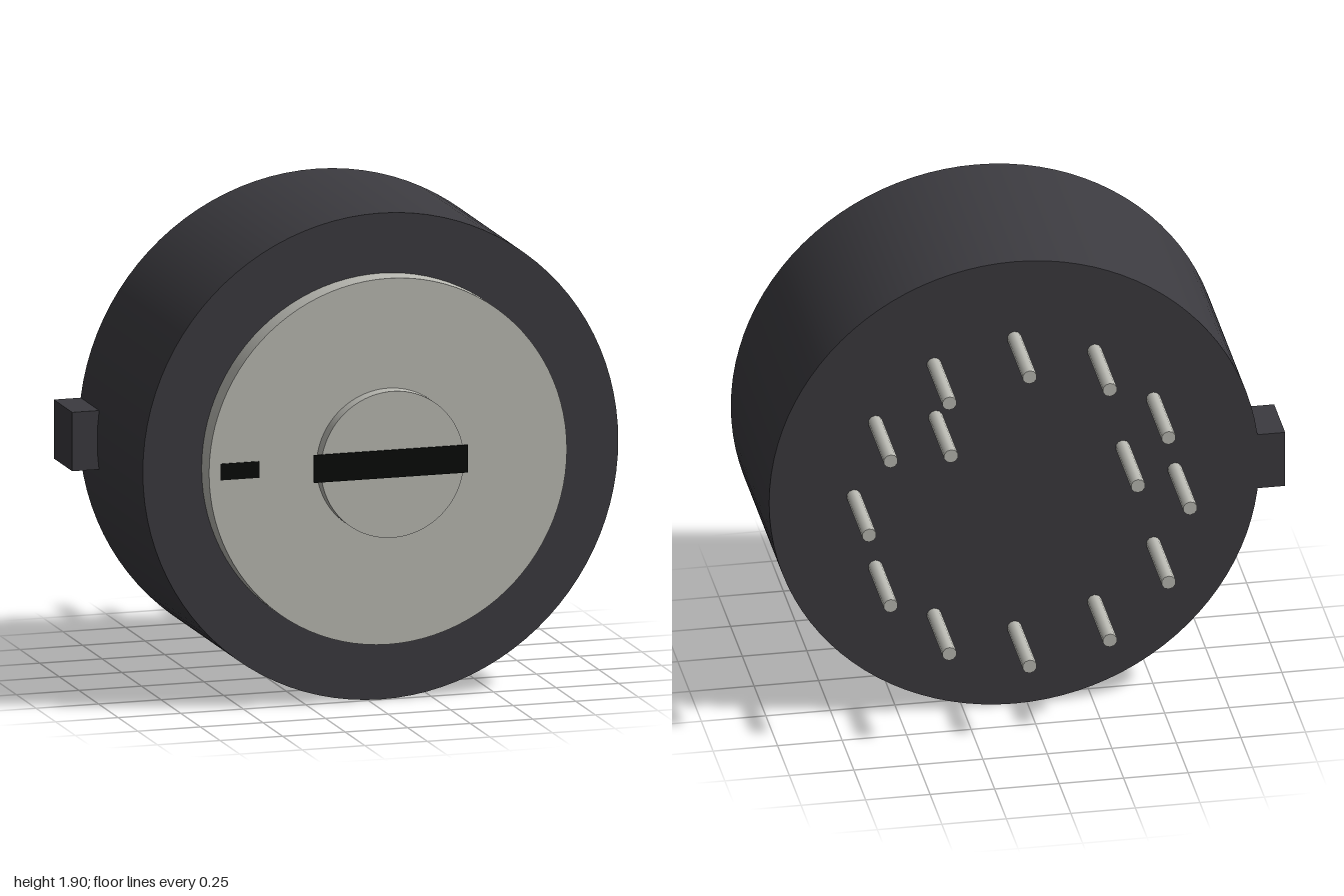
import * as THREE from 'three';

export function createModel() {
  const group = new THREE.Group();
  const material = (name, color, extra = {}) => {
    const m = new THREE.MeshStandardMaterial({ color, ...extra });
    m.name = name;
    return m;
  };
  const darkPlastic = material('darkPlastic', 0x3c3b40);
  const paleMetal = material('paleMetal', 0xbcbcb5);
  const black = material('black', 0x080b08);

  const CX = 0.05, CY = 0.952; // main axis, running along z

  const add = (name, geometry, mat, x, y, z) => {
    const mesh = new THREE.Mesh(geometry, mat);
    mesh.name = name;
    mesh.position.set(x, y, z);
    group.add(mesh);
  };
  // Cylinder along z between two depths
  const disc = (name, mat, r, z0, z1, x = CX, y = CY, sides = 96) => {
    let geometry = new THREE.CylinderGeometry(r, r, z1 - z0, sides).rotateX(Math.PI / 2);
    add(name, geometry, mat, x, y, (z0 + z1) / 2);
  };
  // Box from its minimum and maximum corners
  const block = (name, mat, [x0, y0, z0], [x1, y1, z1]) =>
    add(name, new THREE.BoxGeometry(x1 - x0, y1 - y0, z1 - z0), mat,
      (x0 + x1) / 2, (y0 + y1) / 2, (z0 + z1) / 2);

  // Housing with its locating key
  disc('body', darkPlastic, 0.95, -0.32, 0.495);
  block('locatingKey', darkPlastic, [-1, 0.84, -0.32], [-0.85, 1.07, -0.085]);

  // Stepped front face
  disc('facePlate', paleMetal, 0.715, 0.49, 0.59);
  disc('centreKnob', paleMetal, 0.286, 0.58, 0.648);

  // Painted slot and pointer mark
  block('slot', black, [-0.265, 0.902, 0.647], [0.35, 1.01, 0.654]);
  block('pointerMark', black, [-0.62, 0.923, 0.588], [-0.465, 0.987, 0.594]);

  // Ring of twelve contact pins, plus two inner ones
  const pin = (name, x, y) => disc(name, paleMetal, 0.028, -0.65, -0.3, x, y, 10);
  for (let i = 0; i < 12; i++) {
    const a = (i * Math.PI) / 6;
    pin('ringPin' + (i + 1), CX + 0.622 * Math.cos(a), CY + 0.622 * Math.sin(a));
  }
  pin('innerPin1', CX - 0.42, CY + 0.115);
  pin('innerPin2', CX + 0.305, CY + 0.311);

  return group;
}
